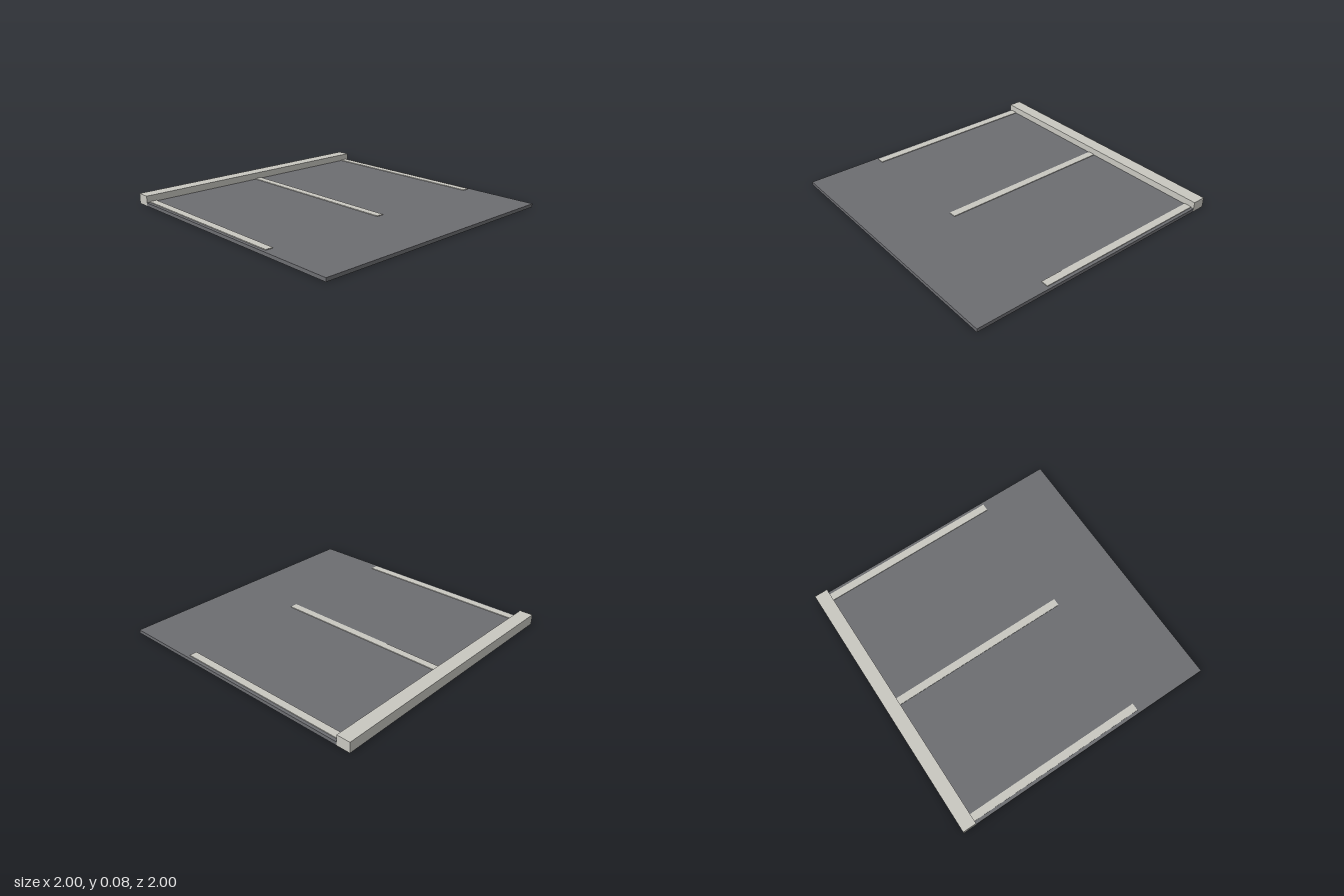
import * as THREE from 'three';

export function createModel() {
  const model = new THREE.Group();
  model.name = 'parkingBay';

  const asphalt = new THREE.MeshStandardMaterial({ color: 0x6c6d71 });
  asphalt.name = 'asphalt grey';
  const concrete = new THREE.MeshStandardMaterial({ color: 0xc8c7c0 });
  concrete.name = 'pale concrete';

  // Box given by its minimum and maximum corners
  function addBox(name, material, [x0, y0, z0], [x1, y1, z1]) {
    const mesh = new THREE.Mesh(new THREE.BoxGeometry(x1 - x0, y1 - y0, z1 - z0), material);
    mesh.position.set((x0 + x1) / 2, (y0 + y1) / 2, (z0 + z1) / 2);
    mesh.name = name;
    model.add(mesh);
  }

  // Ground slab, butting against the curb
  addBox('slab', asphalt, [-1, 0, -0.9], [1, 0.025, 1]);

  // Raised curb along the back edge
  addBox('curb', concrete, [-1, 0, -1], [1, 0.075, -0.9]);

  // Thin painted lines dividing the bays
  const halfWidth = 0.0275;
  for (const [name, x] of [['rightLine', -0.95], ['centreLine', 0], ['leftLine', 0.95]]) {
    addBox(name, concrete, [x - halfWidth, 0.025, -0.9], [x + halfWidth, 0.03, 0.45]);
  }

  return model;
}
